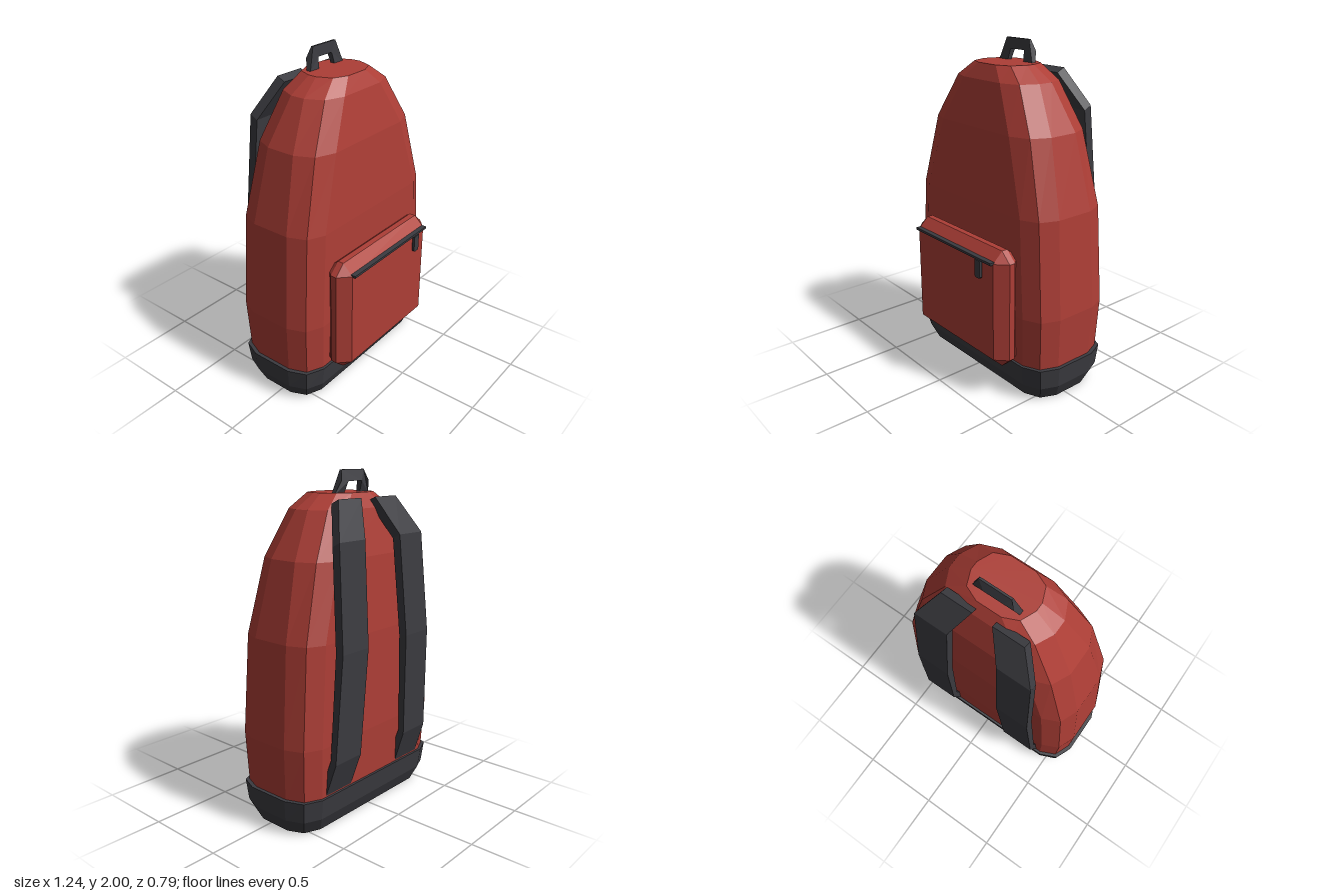
import * as THREE from 'three';

const CENTRE_Z = -0.036;

// Joins equal-length rings of [x, y, z] points, counter-clockwise about the loft direction.
function loft(rings, capStart = true, capEnd = true) {
  const pos = [];
  const tri = (a, b, c) => pos.push(...a, ...b, ...c);
  const n = rings[0].length;
  for (let r = 0; r < rings.length - 1; r++) {
    for (let i = 0; i < n; i++) {
      const j = (i + 1) % n;
      const [a, b, c, d] = [rings[r][i], rings[r][j], rings[r + 1][j], rings[r + 1][i]];
      tri(a, b, c);
      tri(a, c, d);
    }
  }
  const first = rings[0], last = rings[rings.length - 1];
  for (let i = 1; i < n - 1; i++) {
    if (capStart) tri(first[0], first[i + 1], first[i]);
    if (capEnd) tri(last[0], last[i], last[i + 1]);
  }
  const geo = new THREE.BufferGeometry();
  geo.setAttribute('position', new THREE.Float32BufferAttribute(pos, 3));
  geo.computeVertexNormals();
  return geo;
}

// Twelve-cornered horizontal ring: half sizes hx, hz with flat half lengths fx, fz.
function bodyRing([y, hx, hz, fx, fz]) {
  const mx = fx + (hx - fx) * 0.7, mz = fz + (hz - fz) * 0.7;
  const quarter = [[hx, fz], [mx, mz], [fx, hz]];
  const mirrored = quarter.map(([x, z]) => [-x, z]).reverse();
  const half = [...quarter, ...mirrored];
  return [...half, ...half.map(([x, z]) => [-x, -z])].map(([x, z]) => [x, y, CENTRE_Z - z]);
}

// Eight-cornered upright ring for the pocket, chamfered by cx, cy.
function pocketRing(z, hx, hy, cx, cy) {
  const yc = 0.556;
  const c = [[hx, hy - cy], [hx - cx, hy], [-hx + cx, hy], [-hx, hy - cy]];
  return [...c, ...c.map(([x, y]) => [-x, -y])].map(([x, y]) => [x, yc + y, z]);
}

export function createModel() {
  const red = new THREE.MeshStandardMaterial({ color: 0xad3e36, flatShading: true });
  red.name = 'red fabric';
  const dark = new THREE.MeshStandardMaterial({ color: 0x3b3b40, flatShading: true });
  dark.name = 'dark grey trim';

  const group = new THREE.Group();
  group.name = 'backpack';
  const add = (name, geo, mat) => {
    const mesh = new THREE.Mesh(geo, mat);
    mesh.name = name;
    group.add(mesh);
    return mesh;
  };

  // Main bag, including its red underside
  add('body', loft([
    [0, 0.565, 0.228, 0.43, 0.10],
    [0.2, 0.60, 0.27, 0.46, 0.12],
    [0.52, 0.615, 0.284, 0.47, 0.13],
    [1.1, 0.575, 0.275, 0.43, 0.12],
    [1.53, 0.468, 0.244, 0.30, 0.09],
    [1.79, 0.32, 0.19, 0.16, 0.045],
    [1.875, 0.195, 0.148, 0.075, 0.025],
  ].map(bodyRing)), red);

  // Reinforced bottom band with a rim against the body
  add('base', loft([
    [0.001, 0.57, 0.231, 0.435, 0.10],
    [0.09, 0.61, 0.27, 0.465, 0.125],
    [0.215, 0.622, 0.286, 0.472, 0.132],
    [0.215, 0.59, 0.25, 0.45, 0.11],
  ].map(bodyRing), false, false), dark);

  // Front pocket with bevelled edges
  add('frontPocket', loft([
    pocketRing(0.2, 0.40, 0.335, 0.045, 0.04),
    pocketRing(0.245, 0.405, 0.34, 0.045, 0.04),
    pocketRing(0.268, 0.427, 0.36, 0.066, 0.062),
    pocketRing(0.305, 0.427, 0.36, 0.066, 0.062),
    pocketRing(0.37, 0.361, 0.298, 0, 0),
  ]), red);

  // Zip strip and its puller
  add('pocketZip', new THREE.BoxGeometry(0.724, 0.014, 0.03), dark).position.set(0, 0.857, 0.375);
  const pull = new THREE.Shape();
  pull.moveTo(0.228, 0.85);
  pull.lineTo(0.228, 0.752);
  pull.lineTo(0.236, 0.743);
  pull.lineTo(0.267, 0.743);
  pull.lineTo(0.275, 0.752);
  pull.lineTo(0.275, 0.85);
  add('zipPuller', new THREE.ExtrudeGeometry(pull, { depth: 0.016, bevelEnabled: false }), dark)
    .position.z = 0.379;

  // Shoulder straps: outer y, z; inner y, z; inside and outside x
  const path = [
    [1.85, -0.24, 1.825, -0.19, 0.06, 0.25],
    [1.64, -0.348, 1.615, -0.30, 0.155, 0.365],
    [1.05, -0.396, 1.05, -0.346, 0.175, 0.39],
    [0.42, -0.372, 0.44, -0.335, 0.205, 0.42],
    [0.17, -0.29, 0.2, -0.25, 0.215, 0.43],
  ];
  for (const side of [1, -1]) {
    const rings = path.map(([yo, zo, yi, zi, a, b]) => {
      const lo = Math.min(side * a, side * b), hi = Math.max(side * a, side * b);
      return [[hi, yo, zo], [hi, yi, zi], [lo, yi, zi], [lo, yo, zo]];
    });
    add(side > 0 ? 'leftStrap' : 'rightStrap', loft(rings), dark);
  }

  // Carry handle: trapezoid loop, thickest halfway up
  const loop = new THREE.Shape([
    [-0.145, 1.865], [-0.068, 1.865], [-0.058, 1.937], [0.058, 1.937],
    [0.068, 1.865], [0.145, 1.865], [0.119, 1.937], [0.096, 2],
    [-0.096, 2], [-0.119, 1.937],
  ].map(([x, y]) => new THREE.Vector2(x, y)));
  const handle = new THREE.ExtrudeGeometry(loop, { depth: 1, bevelEnabled: false });
  const p = handle.attributes.position;
  for (let i = 0; i < p.count; i++) {
    const y = p.getY(i), front = p.getZ(i) > 0.5;
    if (y < 1.9) p.setZ(i, front ? -0.095 : -0.12);
    else if (y < 1.97) p.setZ(i, front ? -0.11 : -0.145);
    else p.setZ(i, front ? -0.114 : -0.126);
  }
  handle.computeVertexNormals();
  add('carryHandle', handle, dark);

  return group;
}
